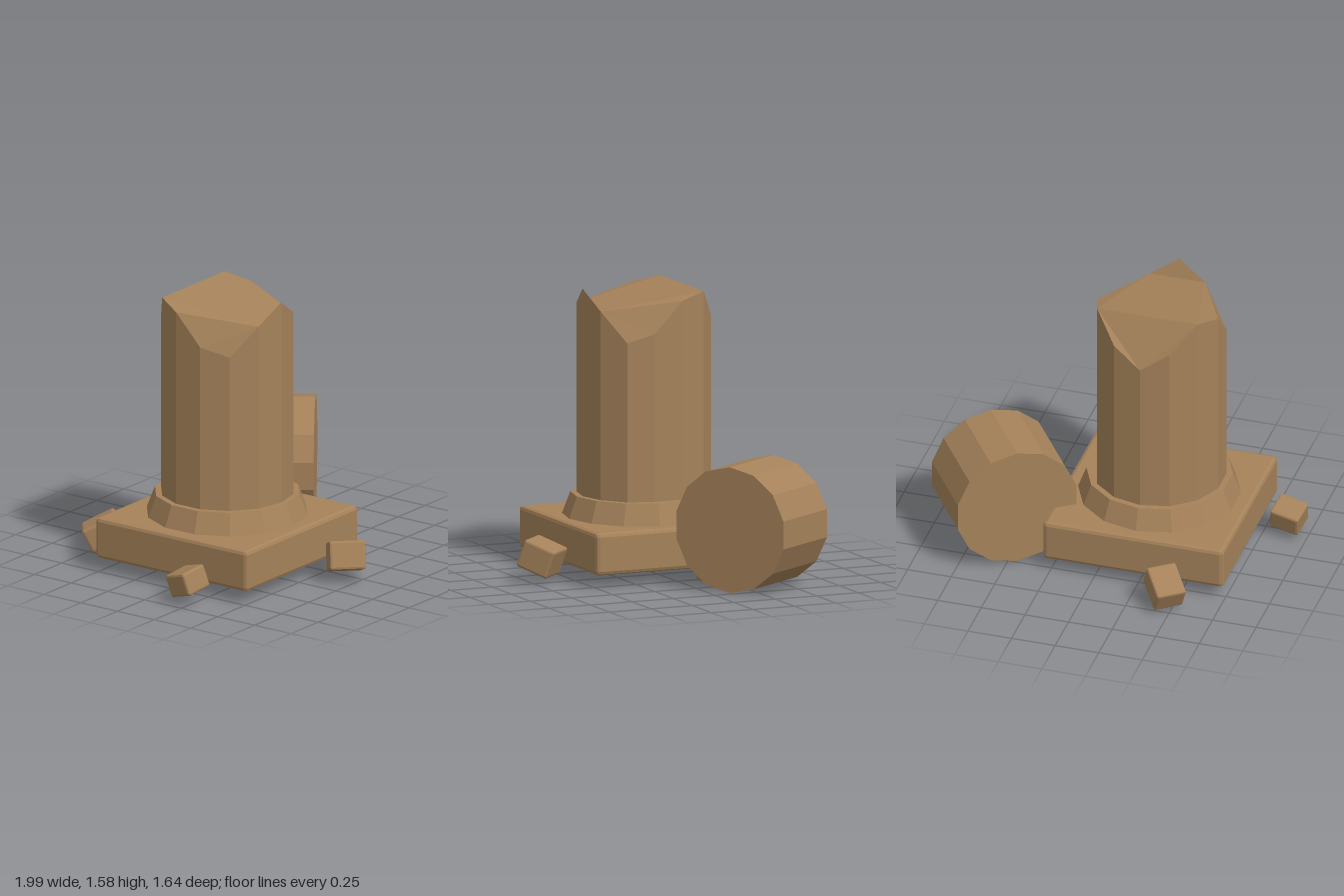
import * as THREE from 'three';
import { RoundedBoxGeometry } from 'three/addons/geometries/RoundedBoxGeometry.js';

const SIDES = 14;
const CX = -0.22, CZ = -0.013;

// Column shaft with a jagged, mirrored broken top
function brokenShaft(radius, bottom, half) {
  const heights = [...half, ...half.slice(1, -1).reverse()];
  const ring = heights.map((y, k) => {
    const a = (k / SIDES) * Math.PI * 2;
    // one worn flat on the +x side
    const x = Math.min(Math.sin(a) * radius, 0.33);
    return [x, y, Math.cos(a) * radius];
  });
  const pos = [];
  const tri = (...pts) => pts.forEach((p) => pos.push(...p));
  const low = (p) => [p[0], bottom, p[2]];
  for (let k = 0; k < SIDES; k++) {
    const a = ring[k], b = ring[(k + 1) % SIDES];
    tri(low(a), low(b), b);
    tri(low(a), b, a);
    tri([0, bottom, 0], low(b), low(a));
  }
  // fracture surface
  const cap = [
    [13, 0, 1], [1, 2, 3], [11, 12, 13], [1, 3, 4], [1, 4, 5], [10, 11, 13],
    [9, 10, 13], [1, 5, 9], [1, 9, 13], [5, 6, 7], [7, 8, 9], [5, 7, 9],
  ];
  cap.forEach((t) => tri(...t.map((i) => ring[i])));
  const g = new THREE.BufferGeometry();
  g.setAttribute('position', new THREE.Float32BufferAttribute(pos, 3));
  g.computeVertexNormals();
  return g;
}

export function createModel() {
  const group = new THREE.Group();
  const stone = new THREE.MeshStandardMaterial({ color: 0xa5825a, flatShading: true });
  stone.name = 'sandstone';

  const add = (name, geometry, position, rotation = [0, 0, 0]) => {
    const mesh = new THREE.Mesh(geometry, stone);
    mesh.name = name;
    mesh.position.set(...position);
    mesh.rotation.set(...rotation, 'YXZ');
    group.add(mesh);
    return mesh;
  };
  const block = (w, h, d, bevel) => new RoundedBoxGeometry(w, h, d, 1, bevel);

  // Square plinth and tapered collar
  add('plinth', block(1.035, 0.235, 1.035, 0.022), [CX - 0.004, 0.187, CZ]);
  add('collar', new THREE.CylinderGeometry(0.403, 0.45, 0.125, SIDES), [CX, 0.3625, CZ]);

  // Broken column: rim heights from the front point round to the back
  const rim = [1.58, 1.475, 1.31, 1.358, 1.53, 1.568, 1.41, 1.3];
  add('brokenColumn', brokenShaft(0.369, 0.41, rim), [CX, 0, CZ]);

  // Fallen drum lying on its side
  add('fallenDrum', new THREE.CylinderGeometry(0.35, 0.35, 0.468, SIDES),
    [0.585, 0.35, -0.297], [Math.PI / 2, 0.607, 0]);

  // Scattered rubble: size, position, rotation (pitch, yaw, roll)
  const rubble = [
    [[0.17, 0.14, 0.2], [-0.455, 0.125, -0.685], [-0.47, 0.65, 0]],
    [[0.17, 0.13, 0.15], [-0.893, 0.125, 0.215], [-0.28, -0.16, 0.15]],
    [[0.19, 0.16, 0.2], [-0.055, 0.137, 0.675], [0, 0.75, -0.35]],
    [[0.13, 0.09, 0.13], [0.45, 0.075, -0.12], [0.15, 0.5, -0.15]],
  ];
  rubble.forEach(([size, position, rotation], i) =>
    add(`rubble${i + 1}`, block(...size, 0.013), position, rotation));

  return group;
}
